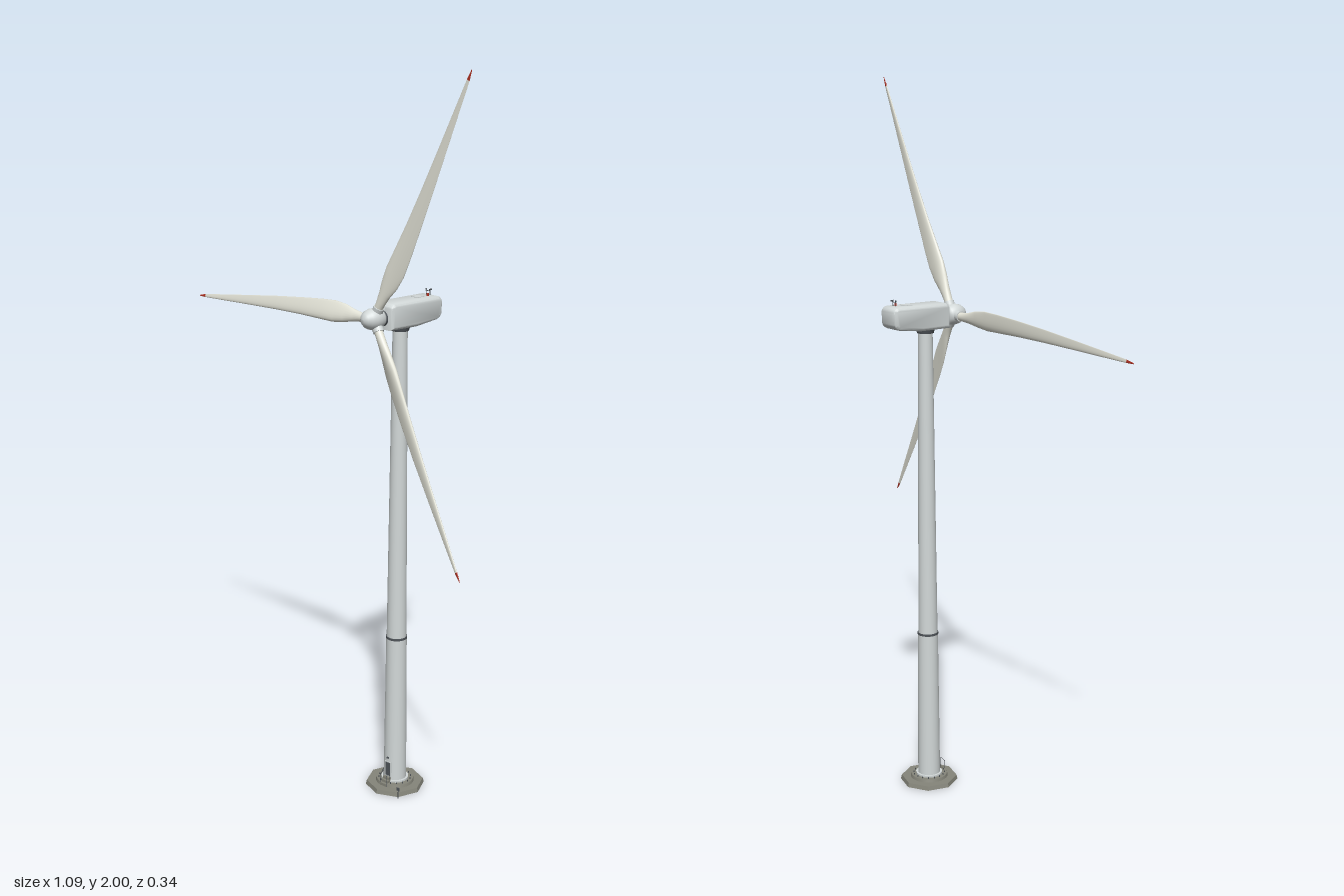
import * as THREE from 'three';
import { toCreasedNormals } from 'three/addons/utils/BufferGeometryUtils.js';

const paint = (color) => new THREE.MeshStandardMaterial({ color });
const shellPaint = paint(0xd2d8d8);
const bladePaint = paint(0xe6e6da);
const redPaint = paint(0xb03020);
const concrete = paint(0x85857a);
const darkPaint = paint(0x50555a);

function add(parent, name, geometry, material, x = 0, y = 0, z = 0) {
  const mesh = new THREE.Mesh(geometry, material);
  mesh.name = name;
  mesh.position.set(x, y, z);
  parent.add(mesh);
  return mesh;
}

const box = (w, h, d) => new THREE.BoxGeometry(w, h, d);
const drum = (top, bottom, h, sides = 32) => new THREE.CylinderGeometry(top, bottom, h, sides);

// Blade stations: radius, leading edge, trailing edge, thickness, twist
const stations = [
  [0.015, -0.012, 0.012, 0.024, 0.3],
  [0.045, -0.012, 0.012, 0.023, 0.3],
  [0.075, -0.014, 0.018, 0.021, 0.29],
  [0.11, -0.019, 0.029, 0.018, 0.26],
  [0.15, -0.022, 0.035, 0.015, 0.22],
  [0.2, -0.019, 0.035, 0.012, 0.18],
  [0.28, -0.014, 0.032, 0.009, 0.13],
  [0.38, -0.010, 0.027, 0.007, 0.09],
  [0.5, -0.007, 0.019, 0.005, 0.06],
  [0.6, -0.005, 0.012, 0.004, 0.03],
  [0.685, -0.003, 0.006, 0.003, 0.01],
  [0.711, -0.001, 0.001, 0.001, 0],
];

// Lofts airfoil rings along +y
function loftBlade(rows) {
  const n = 20, positions = [], index = [];
  rows.forEach(([r, lead, trail, thick, twist], j) => {
    const taper = THREE.MathUtils.smoothstep(r, 0.04, 0.15) * 0.6;
    for (let i = 0; i < n; i++) {
      const t = (i / n) * Math.PI * 2;
      const x = (lead + trail) / 2 + ((trail - lead) / 2) * Math.cos(t);
      const z = (thick / 2) * Math.sin(t) * (1 - taper * Math.cos(t));
      positions.push(x * Math.cos(twist) + z * Math.sin(twist), r, z * Math.cos(twist) - x * Math.sin(twist));
      if (j < rows.length - 1) {
        const a = j * n + i, b = j * n + ((i + 1) % n);
        index.push(a, a + n, b, b, a + n, b + n);
      }
    }
  });
  const geometry = new THREE.BufferGeometry();
  geometry.setAttribute('position', new THREE.Float32BufferAttribute(positions, 3));
  geometry.setIndex(index);
  geometry.computeVertexNormals();
  return geometry;
}

function buildRotor() {
  const rotor = new THREE.Group();
  rotor.name = 'rotor';
  // Spinner with a domed nose
  const profile = [[0, -0.024], [0.02, -0.024], [0.026, -0.015], [0.029, 0], [0.028, 0.012],
    [0.024, 0.025], [0.016, 0.035], [0.008, 0.04], [0, 0.041]].map(([r, y]) => new THREE.Vector2(r, y));
  add(rotor, 'hub', new THREE.LatheGeometry(profile, 32).rotateX(Math.PI / 2), shellPaint);
  add(rotor, 'mainShaft', drum(0.019, 0.022, 0.03).rotateX(Math.PI / 2), darkPaint, 0, 0, -0.03);

  const bladeShape = loftBlade(stations.slice(0, -1));
  const tipShape = loftBlade(stations.slice(-2));
  for (let i = 0; i < 3; i++) {
    const spin = new THREE.Group();
    spin.name = 'bladeAssembly';
    spin.rotation.z = -THREE.MathUtils.degToRad(26.6 + 120 * i);
    const blade = new THREE.Group();
    blade.rotation.x = 0.045;
    add(blade, 'blade', bladeShape, bladePaint);
    add(blade, 'bladeTip', tipShape, redPaint);
    add(blade, 'bladeCollar', drum(0.0145, 0.0145, 0.018, 24), shellPaint, 0, 0.028, 0);
    spin.add(blade);
    rotor.add(spin);
  }
  return rotor;
}

function buildNacelle() {
  const head = new THREE.Group();
  head.name = 'nacelle';
  // Side outline extruded across the width with rounded edges
  const bevel = 0.01;
  const outline = new THREE.Shape();
  outline.moveTo(0.052, 1.34);
  outline.lineTo(0.052, 1.383);
  outline.quadraticCurveTo(0.052, 1.39, 0.044, 1.39);
  outline.lineTo(-0.104, 1.39);
  outline.quadraticCurveTo(-0.113, 1.39, -0.113, 1.382);
  outline.lineTo(-0.112, 1.356);
  outline.quadraticCurveTo(-0.11, 1.349, -0.1, 1.347);
  outline.lineTo(-0.03, 1.339);
  outline.closePath();
  const width = 0.07 - 2 * bevel;
  const body = new THREE.ExtrudeGeometry(outline, {
    depth: width, bevelThickness: bevel, bevelSize: bevel, bevelSegments: 4, curveSegments: 6,
  });
  body.translate(0, 0, -width / 2).rotateY(-Math.PI / 2);
  add(head, 'nacelleBody', toCreasedNormals(body, 0.6), shellPaint);

  // Roof equipment
  add(head, 'roofHatch', box(0.024, 0.002, 0.026), shellPaint, 0, 1.4005, -0.062);
  add(head, 'warningLight', drum(0.003, 0.003, 0.008, 12), redPaint, 0.009, 1.403, -0.09);
  for (const side of [-1, 1]) {
    add(head, 'sensorMast', drum(0.001, 0.001, 0.016, 8), darkPaint, side * 0.007, 1.407, -0.1);
  }
  add(head, 'sensorCrossbar', box(0.018, 0.0015, 0.0015), darkPaint, 0, 1.411, -0.1);
  add(head, 'windCup', new THREE.SphereGeometry(0.0025, 10, 8), darkPaint, -0.007, 1.415, -0.1);
  add(head, 'windVane', box(0.001, 0.004, 0.009), darkPaint, 0.007, 1.415, -0.102);

  const rotor = buildRotor();
  rotor.position.set(0, 1.362, 0.091);
  rotor.rotation.x = -0.0615;
  head.add(rotor);
  return head;
}

function buildTower() {
  const tower = new THREE.Group();
  tower.name = 'tower';
  // Octagonal foundation
  add(tower, 'foundation', drum(0.08, 0.083, 0.012, 8).toNonIndexed(), concrete, 0, 0.006, 0)
    .geometry.computeVertexNormals();
  add(tower, 'baseStep', drum(0.052, 0.054, 0.008), concrete, 0, 0.016, 0);
  add(tower, 'baseFlange', drum(0.038, 0.038, 0.006), shellPaint, 0, 0.022, 0);
  for (let i = 0; i < 16; i++) {
    const a = (i / 16) * Math.PI * 2;
    add(tower, 'anchorBolt', drum(0.0015, 0.0015, 0.005, 6), darkPaint, Math.cos(a) * 0.045, 0.022, Math.sin(a) * 0.045);
  }

  // Tapered sections with a joint
  add(tower, 'lowerTower', drum(0.0285, 0.032, 0.437), shellPaint, 0, 0.2365, 0);
  add(tower, 'towerJoint', drum(0.0295, 0.0295, 0.006), darkPaint, 0, 0.453, 0);
  add(tower, 'upperTower', drum(0.02, 0.0275, 0.87), shellPaint, 0, 0.89, 0);
  add(tower, 'yawBearing', drum(0.027, 0.023, 0.014), darkPaint, 0, 1.326, 0);

  // Door, lamp and steps at the front
  add(tower, 'doorFrame', box(0.021, 0.045, 0.004), shellPaint, 0, 0.057, 0.0305);
  add(tower, 'door', box(0.016, 0.04, 0.004), darkPaint, 0, 0.057, 0.0312);
  add(tower, 'doorLamp', box(0.006, 0.004, 0.005), darkPaint, 0, 0.092, 0.0325);
  for (let i = 0; i < 3; i++) {
    const h = 0.022 - i * 0.007;
    add(tower, 'step', box(0.022, h, 0.007), concrete, 0, 0.012 + h / 2, 0.036 + i * 0.007);
  }
  for (const side of [-1, 1]) {
    add(tower, 'handrailPost', drum(0.0008, 0.0008, 0.03, 6), darkPaint, side * 0.011, 0.044, 0.037);
    add(tower, 'handrailPost', drum(0.0008, 0.0008, 0.03, 6), darkPaint, side * 0.011, 0.027, 0.053);
    const rail = add(tower, 'handrail', drum(0.0008, 0.0008, 0.0235, 6), darkPaint, side * 0.011, 0.0505, 0.045);
    rail.rotation.x = Math.PI / 2 + Math.atan2(17, 16);
  }

  // Small sign beside the foundation
  add(tower, 'signPost', drum(0.001, 0.001, 0.032, 8), darkPaint, 0.063, 0.016, 0.064);
  add(tower, 'signBoard', box(0.01, 0.009, 0.002), darkPaint, 0.063, 0.029, 0.065);
  return tower;
}

export function createModel() {
  const model = new THREE.Group();
  model.name = 'windTurbine';
  const nacelle = buildNacelle();
  nacelle.rotation.y = -0.14;
  model.add(buildTower(), nacelle);
  model.children.forEach((part) => part.position.set(0.175, 0, -0.045));
  return model;
}
